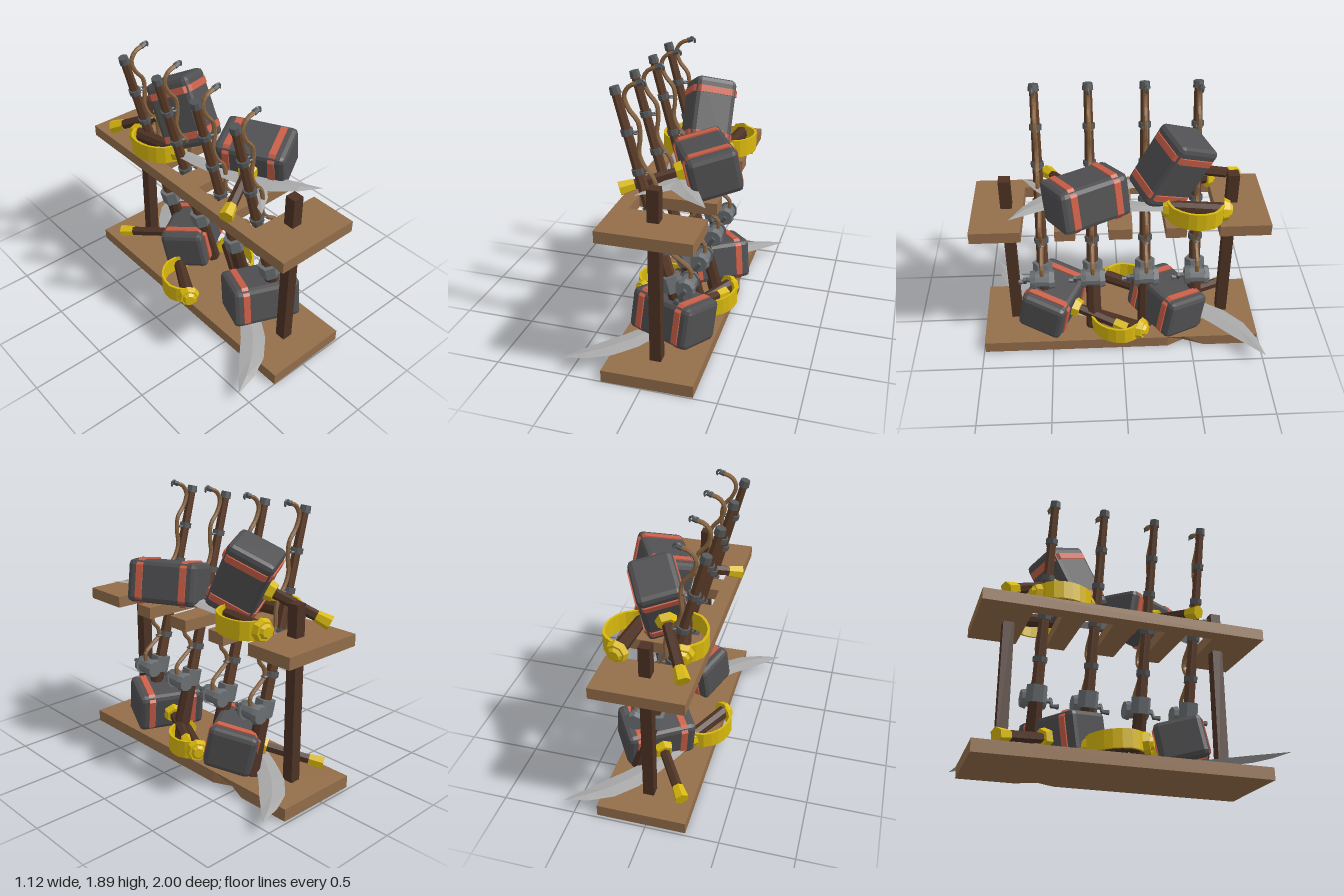
import * as THREE from 'three';
import { RoundedBoxGeometry } from 'three/addons/geometries/RoundedBoxGeometry.js';

const V = (x, y, z) => new THREE.Vector3(x, y, z);

function makeMaterials() {
  const colours = {
    plankWood: 0x946e4a, darkWood: 0x4d3224, rodWood: 0x5e3d29, cord: 0x8a6642,
    iron: 0x505052, redBand: 0xcb5f48, brass: 0xd8b80e, blade: 0xa9a9aa, reelSteel: 0x6c7073, guideSteel: 0x55585a,
  };
  const mats = {};
  for (const [name, color] of Object.entries(colours)) {
    mats[name] = new THREE.MeshStandardMaterial({ color, flatShading: true });
    mats[name].name = name;
  }
  return mats;
}

function add(parent, name, geometry, material) {
  const mesh = new THREE.Mesh(geometry, material);
  mesh.name = name;
  parent.add(mesh);
  return mesh;
}

// Tapered prism from point a to point b
function bar(parent, name, a, b, ra, rb, sides, material) {
  const mesh = add(parent, name, new THREE.CylinderGeometry(rb, ra, a.distanceTo(b), sides), material);
  mesh.position.copy(a).lerp(b, 0.5);
  mesh.quaternion.setFromUnitVectors(V(0, 1, 0), b.clone().sub(a).normalize());
  return mesh;
}

// Shape in x/z, extruded downward from yTop
function slab(points, yTop, depth) {
  const shape = new THREE.Shape(points.map(([x, z]) => new THREE.Vector2(x, z)));
  return new THREE.ExtrudeGeometry(shape, { depth, bevelEnabled: false }).rotateX(Math.PI / 2).translate(0, yTop, 0);
}

// Group whose local x and z follow the given directions
function oriented(name, origin, xDir, zDir) {
  const group = new THREE.Group();
  const z = zDir.clone().normalize();
  const x = xDir.clone().addScaledVector(z, -xDir.dot(z)).normalize();
  group.name = name;
  group.quaternion.setFromRotationMatrix(new THREE.Matrix4().makeBasis(x, z.clone().cross(x), z));
  group.position.copy(origin);
  return group;
}

// Shelf board; the lower edge is chipped away at each z in chips
function plank(parent, name, outline, yTop, depth, chips, m) {
  const g = slab(outline, yTop, depth);
  const p = g.attributes.position;
  for (let i = 0; i < p.count; i++) {
    const chipped = chips.some(z => Math.abs(z - p.getZ(i)) < 0.001);
    if (chipped && p.getY(i) < yTop - depth / 2 && p.getX(i) > 0.3) p.setX(i, 0.28);
  }
  add(parent, name, g, m.plankWood);
}

// Sledgehammer: local z runs along the handle, x along the head
function hammer(center, pommel, headDir, m) {
  const g = oriented('hammer', center, headDir, pommel.clone().sub(center));
  const L = center.distanceTo(pommel), w = 0.175, h = 0.155, c = 0.045;
  add(g, 'hammerHead', new RoundedBoxGeometry(0.49, 0.29, 0.33, 1, 0.035), m.iron);
  const octagon = new THREE.Shape([
    [w, h - c], [w - c, h], [c - w, h], [-w, h - c], [-w, c - h], [c - w, -h], [w - c, -h], [w, c - h],
  ].map(([x, y]) => new THREE.Vector2(x, y)));
  for (const x of [-0.155, 0.155]) {
    const band = new THREE.ExtrudeGeometry(octagon, { depth: 0.046, bevelEnabled: false });
    add(g, 'headBand', band.rotateY(Math.PI / 2).translate(x - 0.023, 0, 0), m.redBand);
  }
  bar(g, 'hammerCollar', V(0, 0, 0.15), V(0, 0, 0.215), 0.075, 0.06, 6, m.brass);
  bar(g, 'hammerHandle', V(0, 0, 0.15), V(0, 0, L - 0.03), 0.036, 0.036, 6, m.darkWood);
  bar(g, 'hammerPommel', V(0, 0, L - 0.07), V(0, 0, L + 0.03), 0.04, 0.05, 6, m.brass);
  return g;
}

// Blade lofted from diamond cross-sections: [distance, sideways centre, width]
function bladeGeometry() {
  const sections = [
    [0.39, 0.075, 0.09], [0.55, 0.105, 0.11], [0.75, 0.125, 0.14], [0.95, 0.13, 0.17],
    [1.13, 0.105, 0.165], [1.28, 0.06, 0.1], [1.41, 0, 0.002],
  ];
  const pos = [], idx = [];
  for (const [z, x, w] of sections) {
    const t = 0.012 * Math.min(1, w / 0.1);
    pos.push(x + w / 2, 0, z, x, t, z, x - w / 2, 0, z, x, -t, z);
  }
  for (let i = 0; i < sections.length - 1; i++) {
    for (let j = 0; j < 4; j++) {
      const a = i * 4 + j, b = i * 4 + (j + 1) % 4;
      idx.push(a, b, b + 4, a, b + 4, a + 4);
    }
  }
  idx.push(0, 2, 1, 0, 3, 2);
  const g = new THREE.BufferGeometry();
  g.setAttribute('position', new THREE.Float32BufferAttribute(pos, 3));
  g.setIndex(idx);
  g.computeVertexNormals();
  return g;
}

// Sabre: local z runs from pommel to tip, x toward the cutting edge
function sabre(pommel, tip, side, m) {
  const d = tip.clone().sub(pommel);
  const g = oriented('sabre', pommel, V(-side * d.z, 0, side * d.x), d);
  g.scale.z = d.length() / 1.41;
  add(g, 'sabreBlade', bladeGeometry(), m.blade);
  bar(g, 'sabreGrip', V(0, 0, -0.01), V(0.06, 0, 0.38), 0.05, 0.042, 8, m.darkWood);
  bar(g, 'pommelCollar', V(-0.003, 0, -0.025), V(0.002, 0, 0.015), 0.065, 0.08, 8, m.brass);
  bar(g, 'pommelCap', V(-0.006, 0, -0.045), V(-0.003, 0, -0.02), 0.035, 0.055, 8, m.brass);
  bar(g, 'hiltCollar', V(0.06, 0, 0.37), V(0.066, 0, 0.41), 0.075, 0.06, 8, m.brass);
  // Broad knuckle guard
  const arc = new THREE.CatmullRomCurve3(
    [[0.03, 0], [0.13, 0.04], [0.185, 0.14], [0.19, 0.24], [0.15, 0.34], [0.06, 0.4]].map(([x, z]) => V(x, 0, z)));
  const outer = arc.getPoints(9).map(p => [p.x, p.z]);
  const inner = outer.map(([x, z]) => [0.03 + (x - 0.03) * 0.9, 0.2 + (z - 0.2) * 0.9]).reverse();
  add(g, 'knuckleGuard', slab([...outer, ...inner], 0.062, 0.124), m.brass);
  return g;
}

// Fishing rod leaning toward -x
function fishingRod(z, m) {
  const g = new THREE.Group();
  g.name = 'fishingRod';
  g.position.z = z;
  const at = y => V(0.19 - (y - 0.09) * 0.269, y, 0);
  const radius = y => 0.042 - (y - 0.5) * 0.011;
  bar(g, 'rodGrip', at(0.09), at(0.5), 0.058, 0.048, 8, m.darkWood);
  bar(g, 'rodShaft', at(0.45), at(1.81), radius(0.45), radius(1.81), 6, m.rodWood);
  bar(g, 'rodTip', at(1.785), at(1.83), 0.037, 0.033, 8, m.guideSteel);
  for (const y of [0.76, 1.04, 1.3, 1.55]) {
    bar(g, 'lineGuide', at(y - 0.018), at(y + 0.018), radius(y) + 0.011, radius(y) + 0.011, 8, m.guideSteel);
    const eye = add(g, 'guideEye', new THREE.TorusGeometry(0.02, 0.007, 4, 8), m.guideSteel);
    eye.rotation.x = Math.PI / 2;
    eye.position.copy(at(y)).add(V(radius(y) + 0.022, 0, 0));
  }
  // Reel: seat, arm, drum and crank
  bar(g, 'reelSeat', at(0.485), at(0.595), 0.07, 0.07, 6, m.reelSteel);
  add(g, 'reelArm', new THREE.BoxGeometry(0.13, 0.07, 0.08), m.reelSteel).position.set(0.11, 0.535, 0);
  bar(g, 'reelDrum', V(0.18, 0.54, -0.06), V(0.18, 0.54, 0.06), 0.055, 0.055, 10, m.reelSteel);
  for (const s of [-1, 1]) bar(g, 'reelPlate', V(0.18, 0.54, s * 0.05), V(0.18, 0.54, s * 0.085), 0.07, 0.06, 10, m.reelSteel);
  bar(g, 'crankShaft', V(0.18, 0.54, 0.08), V(0.18, 0.54, 0.13), 0.02, 0.015, 6, m.guideSteel);
  bar(g, 'crankArm', V(0.2, 0.565, 0.125), V(0.15, 0.49, 0.125), 0.014, 0.014, 6, m.guideSteel);
  bar(g, 'crankKnob', V(0.15, 0.495, 0.12), V(0.15, 0.495, 0.17), 0.012, 0.02, 6, m.guideSteel);
  // Slack cord
  const path = [[0.2, 0.59], [0.2, 0.65], [0.13, 0.71], [0.07, 0.76], [0.08, 0.82], [0.125, 0.88], [0.11, 0.95],
    [0.03, 1.01], [-0.02, 1.08], [-0.02, 1.17], [-0.04, 1.26], [-0.1, 1.34], [-0.13, 1.42], [-0.12, 1.52],
    [-0.13, 1.62], [-0.19, 1.7], [-0.215, 1.78], [-0.18, 1.84], [-0.11, 1.865]];
  const curve = new THREE.CatmullRomCurve3(path.map(([x, y]) => V(x, y, 0)));
  add(g, 'cord', new THREE.TubeGeometry(curve, 56, 0.015, 6), m.cord);
  // Hook
  bar(g, 'hookShank', V(-0.13, 1.86, 0), V(-0.095, 1.872, 0), 0.02, 0.017, 6, m.guideSteel);
  const hook = add(g, 'hook', new THREE.TorusGeometry(0.022, 0.008, 5, 8, Math.PI * 1.2), m.guideSteel);
  hook.position.set(-0.1, 1.862, 0);
  hook.rotation.z = -0.75;
  return g;
}

export function createModel() {
  const model = new THREE.Group();
  model.name = 'equipmentRack';
  const m = makeMaterials();
  const rodZ = [0.555, 0.2, -0.175, -0.53];

  // Boards: the upper one is notched for the rods
  plank(model, 'lowerShelf', [[-0.27, -0.98], [0.34, -0.98], [0.34, -0.6], [0.34, -0.45], [0.34, -0.33],
    [0.34, 0.99], [-0.27, 1]], 0.085, 0.085, [-0.45], m);
  const upper = [[-0.27, -0.98], [0.34, -0.98]];
  for (const z of [...rodZ].reverse()) upper.push([0.34, z - 0.11], [-0.17, z - 0.1], [-0.17, z + 0.1], [0.34, z + 0.11]);
  upper.push([0.34, 1], [-0.27, 1]);
  plank(model, 'upperShelf', upper, 1.085, 0.08, [], m);

  for (const z of [0.77, -0.755]) {
    add(model, 'post', new THREE.BoxGeometry(0.076, 1.25, 0.076), m.darkWood).position.set(0.036, 0.675, z);
  }
  for (const z of rodZ) model.add(fishingRod(z, m));

  model.add(
    hammer(V(0.22, 1.265, 0.235), V(-0.26, 1.145, 0.49), V(0.47, 0, 0.88), m),
    hammer(V(0.07, 1.385, -0.34), V(-0.2, 1.14, -0.8), V(0.03, 0.9, -0.4), m),
    hammer(V(0.065, 0.26, 0.49), V(0.28, 0.15, -0.01), V(0.91, 0, 0.4), m),
    hammer(V(0.12, 0.26, -0.33), V(-0.19, 0.145, -0.8), V(0.85, 0, -0.53), m),
    sabre(V(0.25, 1.155, -0.68), V(-0.13, 1.18, 0.66), -1, m),
    sabre(V(-0.15, 1.155, -0.61), V(0.34, 1.19, 0.73), 1, m),
    sabre(V(0.31, 0.155, -0.14), V(-0.56, 0.1, 0.96), -1, m),
    sabre(V(-0.28, 0.155, 0.11), V(0.56, 0.1, -1), -1, m),
  );
  return model;
}
